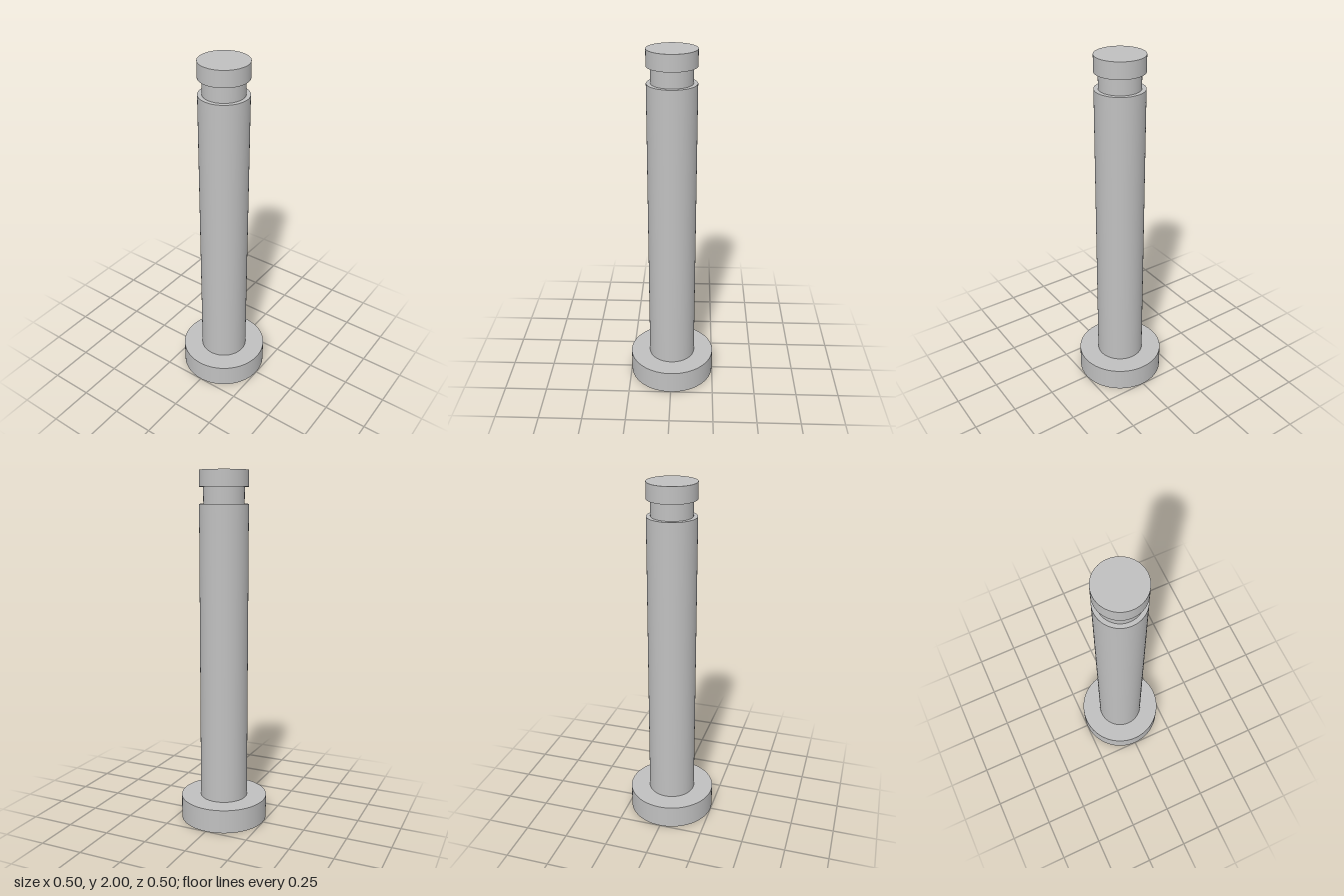
import * as THREE from 'three';

const SEGMENTS = 96;
const BASE_R = 0.249, SHAFT_R = 0.136, NECK_R = 0.113;

export function createModel() {
  const model = new THREE.Group();
  model.name = 'headedPin';
  const steel = new THREE.MeshStandardMaterial({ color: 0xc0c0c0 });
  steel.name = 'steel grey';

  // One turned section: a wall plus only the exposed end faces.
  // topInner / bottomInner: inner radius of the end face, null for none.
  function section(name, radius, y0, y1, topInner, bottomInner) {
    const part = new THREE.Group();
    part.name = name;
    const add = (geometry, suffix) => {
      const mesh = new THREE.Mesh(geometry, steel);
      mesh.name = name + suffix;
      part.add(mesh);
    };
    const wall = new THREE.CylinderGeometry(radius, radius, y1 - y0, SEGMENTS, 1, true);
    add(wall.translate(0, (y0 + y1) / 2, 0), 'Wall');

    const endFace = (inner, y, tilt, suffix) => {
      if (inner === null) return;
      const face = inner > 0
        ? new THREE.RingGeometry(inner, radius, SEGMENTS)
        : new THREE.CircleGeometry(radius, SEGMENTS);
      add(face.rotateX(tilt).translate(0, y, 0), suffix);
    };
    endFace(topInner, y1, -Math.PI / 2, 'Top');
    endFace(bottomInner, y0, Math.PI / 2, 'Bottom');
    model.add(part);
  }

  section('baseFlange', BASE_R, 0, 0.136, SHAFT_R, 0);
  section('shaft', SHAFT_R, 0.136, 1.82, NECK_R, null);
  section('grooveNeck', NECK_R, 1.82, 1.91, null, null);
  section('endCap', SHAFT_R, 1.91, 2, 0, NECK_R);
  return model;
}
